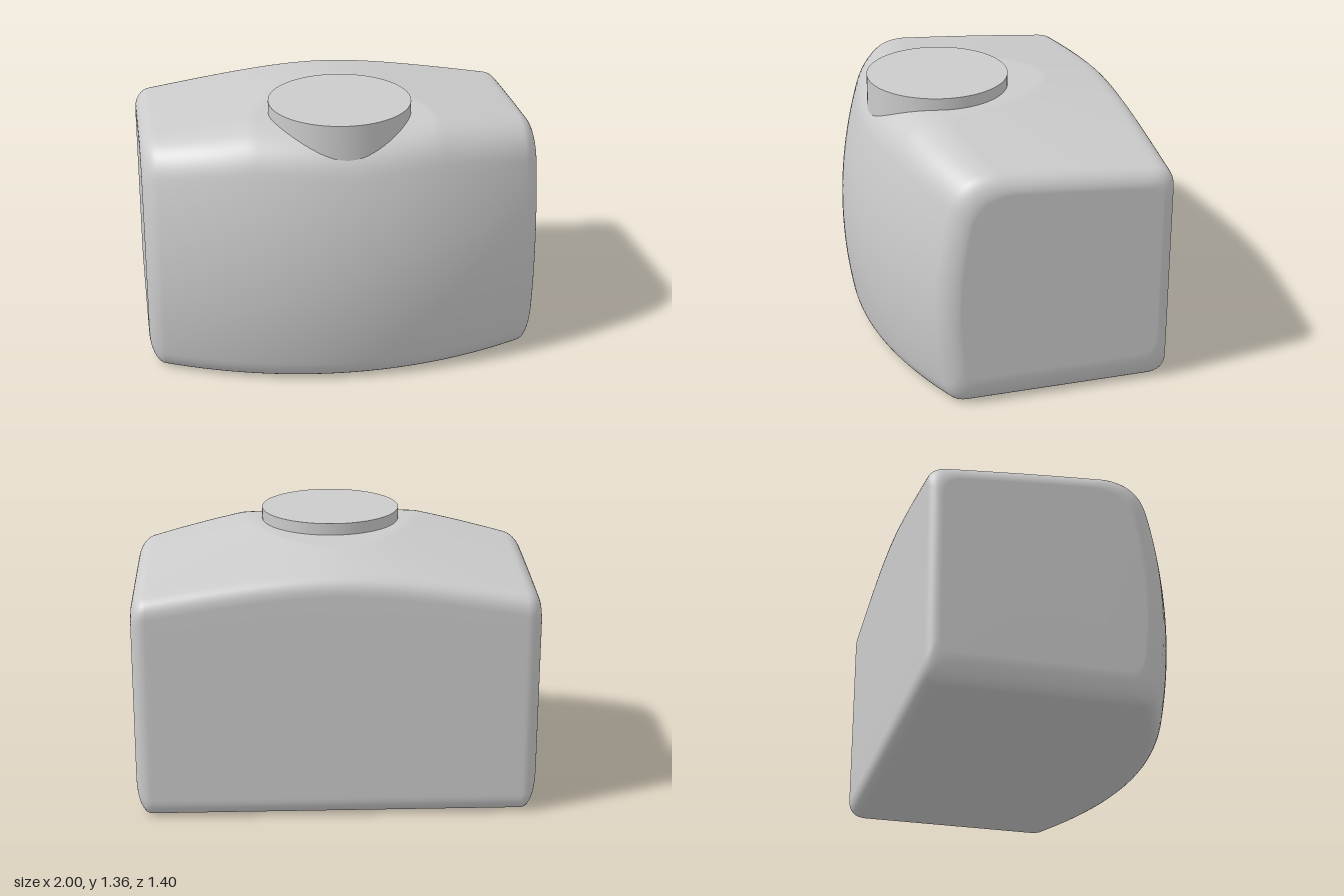
import * as THREE from 'three';

const V = (z, y) => new THREE.Vector2(z, y);
const lerp = THREE.MathUtils.lerp;

// Bowed front wall, curved both across and up
const frontZ = (x, y) => 0.7 - 0.26 * x * x - 0.24 * (y - 0.5) ** 2;

// Sloping roof with a soft ridge, levelled off at the summit
function roofY(x, z) {
  const soft = Math.max(0.02, 0.1 - 0.48 * z);
  const slope = 1.155 + 0.059 * (Math.min(z, 0.3) + 0.6);
  return Math.min(1.295, slope + 0.186 * (0.93 - Math.hypot(x, soft)));
}

// Rounded corner from a to b, steered by the corner point
const fillet = (a, corner, b, n) => new THREE.QuadraticBezierCurve(a, corner, b).getPoints(n);

// Closed side outline at a given x; inset and lift shrink it at the ends
function outline(x, inset, lift) {
  const k = Math.min(1, Math.abs(x) / 0.93);
  const front = (y) => frontZ(x, y) - inset;
  const roof = (z) => roofY(x, z) - inset;
  const back = -0.705 + inset, r = 0.095;
  const crown = roof(0.3);
  const shoulderY = crown - lerp(0.195, 0.16, k);
  const cornerZ = front(shoulderY) - 0.5 * (shoulderY - 0.5) * (crown - shoulderY);
  const shoulderZ = cornerZ - lerp(0.25, 0.17, k);
  const backTop = roof(back);
  const pts = [];

  // Front: lower edge, wall, shoulder
  const lowY = lift + r;
  pts.push(...fillet(V(front(lowY) - r, lift), V(front(lift), lift), V(front(lowY), lowY), 8));
  for (let i = 1; i < 24; i++) {
    const y = lerp(lowY, shoulderY, i / 24);
    pts.push(V(front(y), y));
  }
  pts.push(...fillet(V(front(shoulderY), shoulderY), V(cornerZ, roof(shoulderZ)), V(shoulderZ, roof(shoulderZ)), 14));

  // Roof, then back wall
  for (let i = 1; i < 40; i++) {
    const z = lerp(shoulderZ, back + r, i / 40);
    pts.push(V(z, roof(z)));
  }
  pts.push(...fillet(V(back + r, roof(back + r)), V(back, backTop), V(back, backTop - r), 8));
  for (let i = 1; i < 8; i++) pts.push(V(back, lerp(backTop - r, lowY, i / 8)));

  // Lower back edge and underside
  pts.push(...fillet(V(back, lowY), V(back, lift), V(back + r, lift), 8));
  for (let i = 1; i < 8; i++) pts.push(V(lerp(back + r, front(lowY) - r, i / 8), lift));
  return pts;
}

function bodyGeometry() {
  // Stations along x: rounded end, main span, rounded end
  const stations = [];
  const ends = 10, span = 80, radius = 0.075, core = 1 - radius;
  for (let i = 0; i < span; i++) stations.push([lerp(-core, core, i / span), 0, 0]);
  for (let i = 0; i <= ends; i++) {
    const t = (i / ends) * Math.PI / 2, drop = 1 - Math.cos(t);
    const x = core + radius * Math.sin(t);
    stations.push([x, radius * drop, 0.15 * drop]);
    if (i > 0) stations.unshift([-x, radius * drop, 0.15 * drop]);
  }
  const position = [], index = [];
  let n = 0;
  for (const [x, inset, lift] of stations) {
    const ring = outline(x, inset, lift);
    n = ring.length;
    for (const p of ring) position.push(x, p.y, p.x);
  }
  const last = stations.length - 1;
  for (let i = 0; i < last; i++) {
    for (let j = 0; j < n; j++) {
      const k = (j + 1) % n;
      const a = i * n + j, b = a + n, c = i * n + k, d = c + n;
      index.push(a, b, c, b, d, c);
    }
  }
  // Flat side walls
  const left = position.length / 3;
  position.push(1, 0.6, -0.15, -1, 0.6, -0.15);
  for (let j = 0; j < n; j++) {
    const k = (j + 1) % n;
    index.push(left, last * n + k, last * n + j);
    index.push(left + 1, j, k);
  }
  const g = new THREE.BufferGeometry();
  g.setAttribute('position', new THREE.Float32BufferAttribute(position, 3));
  g.setIndex(index);
  g.computeVertexNormals();
  return g;
}

export function createModel() {
  const group = new THREE.Group();
  const material = new THREE.MeshStandardMaterial({ color: 0xcccccc });

  const body = new THREE.Mesh(bodyGeometry(), material);
  body.name = 'body';

  // Round lid sunk into the roof and front shoulder
  const lid = new THREE.Mesh(new THREE.CylinderGeometry(0.357, 0.357, 0.335, 72), material);
  lid.name = 'lid';
  lid.position.set(0, 1.1875, 0.223);

  group.add(body, lid);
  return group;
}
